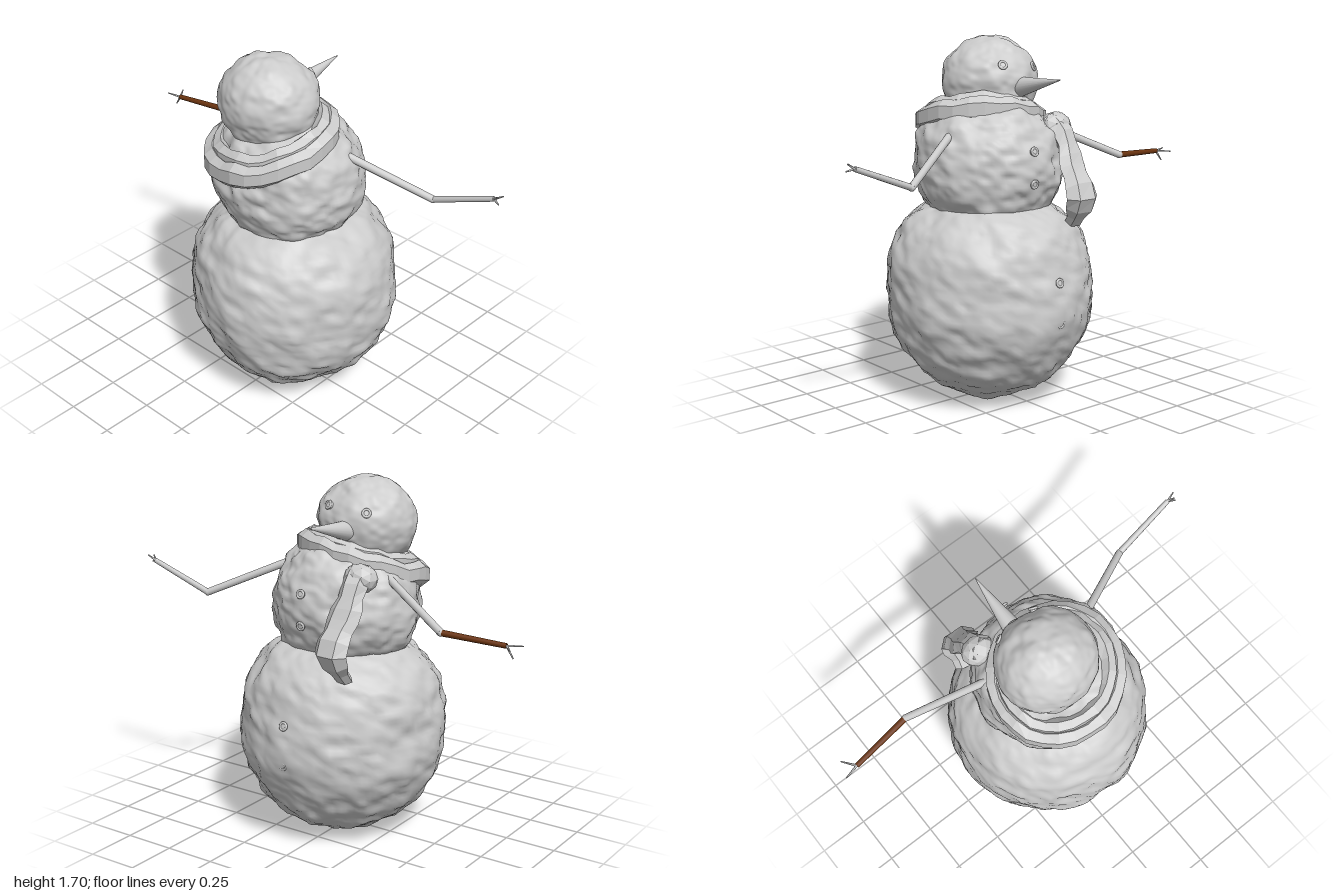
import * as THREE from 'three';
import { mergeVertices } from 'three/addons/utils/BufferGeometryUtils.js';

const V = (x, y, z) => new THREE.Vector3(x, y, z);
const snow = new THREE.MeshStandardMaterial({ color: 0xcccccc });
const cloth = new THREE.MeshStandardMaterial({ color: 0xcccccc, flatShading: true, side: THREE.DoubleSide });
const bark = new THREE.MeshStandardMaterial({ color: 0x6b3410 });

// Seeded value noise in the range -1..1
function hash(x, y, z) {
  const s = Math.sin(x * 127.1 + y * 311.7 + z * 74.7) * 43758.5453;
  return (s - Math.floor(s)) * 2 - 1;
}
function noise(x, y, z) {
  const ix = Math.floor(x), iy = Math.floor(y), iz = Math.floor(z);
  const ease = t => t * t * (3 - 2 * t);
  const fx = ease(x - ix), fy = ease(y - iy), fz = ease(z - iz);
  let sum = 0;
  for (let k = 0; k < 8; k++) {
    const a = k & 1, b = (k >> 1) & 1, c = k >> 2;
    sum += hash(ix + a, iy + b, iz + c) * (a ? fx : 1 - fx) * (b ? fy : 1 - fy) * (c ? fz : 1 - fz);
  }
  return sum;
}

function add(parent, name, geometry, material) {
  const mesh = new THREE.Mesh(geometry, material);
  mesh.name = name;
  parent.add(mesh);
  return mesh;
}

// Lumpy ball of packed snow; shoulder widens its upper half
function snowball(center, radii, shoulder, lump) {
  let geo = new THREE.SphereGeometry(1, 128, 88);
  geo.deleteAttribute('uv');
  geo.deleteAttribute('normal');
  geo = mergeVertices(geo, 1e-5);
  const pos = geo.attributes.position, p = V(0, 0, 0);
  for (let i = 0; i < pos.count; i++) {
    p.fromBufferAttribute(pos, i);
    const wide = p.y > 0 ? 1 + shoulder * p.y * p.y : 1;
    const q = V(p.x * wide, p.y, p.z * wide).multiply(radii).add(center);
    const bump = 0.9 * noise(q.x * 6, q.y * 7, q.z * 6) + 0.8 * noise(q.x * 14, q.y * 19, q.z * 14)
      + 0.4 * noise(q.x * 30, q.y * 38, q.z * 30);
    q.addScaledVector(p, bump * lump);
    pos.setXYZ(i, q.x, q.y, q.z);
  }
  geo.computeVertexNormals();
  return geo;
}

// Skin over six-sided sections, each { c: centre, u: half depth, v: half width }
function loft(sections, closed) {
  const sides = 6, verts = [], index = [], n = sections.length;
  for (const { c, u, v } of sections)
    for (let k = 0; k < sides; k++) {
      const a = (k + 0.5) / sides * Math.PI * 2;
      const p = c.clone().addScaledVector(u, Math.cos(a) * 1.1).addScaledVector(v, Math.sin(a));
      verts.push(p.x, p.y, p.z);
    }
  for (let i = 0; i < (closed ? n : n - 1); i++)
    for (let k = 0; k < sides; k++) {
      const k2 = (k + 1) % sides, j = (i + 1) % n;
      const a = i * sides + k, b = i * sides + k2, c = j * sides + k2, d = j * sides + k;
      index.push(a, b, c, a, c, d);
    }
  if (!closed)
    for (let k = 1; k < sides - 1; k++) {
      const e = (n - 1) * sides;
      index.push(0, k + 1, k, e, e + k, e + k + 1);
    }
  const geo = new THREE.BufferGeometry();
  geo.setAttribute('position', new THREE.Float32BufferAttribute(verts, 3));
  geo.setIndex(index);
  geo.computeVertexNormals();
  return geo;
}

// Tilted scarf loop
function scarfLoop(rx, rz, lift, depth, height) {
  const sections = [], n = 26;
  for (let i = 0; i < n; i++) {
    const t = i / n * Math.PI * 2;
    const x = -0.015 + rx * Math.cos(t), z = 0.11 + rz * Math.sin(t);
    const y = 1.31 + lift + 0.17 * x - 0.25 * (z - 0.12) + 0.008 * hash(i, 3, lift);
    sections.push({
      c: V(x, y, z),
      u: V(Math.cos(t), 0.1, Math.sin(t)).multiplyScalar(depth * (1 + 0.15 * hash(i, 7, 1))),
      v: V(0, height * (1 + 0.1 * hash(i, 5, 2)), 0),
    });
  }
  return loft(sections, true);
}

// Tapered rod between two points
function rod(parent, name, from, to, r0, r1, material, sides = 12) {
  const dir = to.clone().sub(from);
  const mesh = add(parent, name, new THREE.CylinderGeometry(r1, r0, dir.length(), sides), material);
  mesh.position.copy(from).add(to).multiplyScalar(0.5);
  mesh.quaternion.setFromUnitVectors(V(0, 1, 0), dir.normalize());
  return mesh;
}

// Two-part stick arm with a forked twig hand
function arm(name, shoulder, elbow, wrist, tips, foreMaterial) {
  const group = new THREE.Group();
  group.name = name;
  rod(group, 'upperArm', shoulder, elbow, 0.019, 0.017, snow);
  add(group, 'elbow', new THREE.SphereGeometry(0.017, 12, 8), snow).position.copy(elbow);
  rod(group, 'forearm', elbow, wrist, 0.015, 0.012, foreMaterial);
  for (const tip of tips) rod(group, 'twigFinger', wrist, tip, 0.006, 0.003, snow, 6);
  return group;
}

// Small round button with a raised rim, facing along dir
function button(parent, name, position, dir) {
  const group = new THREE.Group();
  group.name = name;
  add(group, 'rim', new THREE.TorusGeometry(0.017, 0.006, 8, 20), snow);
  const disc = add(group, 'disc', new THREE.CylinderGeometry(0.017, 0.017, 0.016, 20), snow);
  disc.rotation.x = Math.PI / 2;
  disc.position.z = -0.006;
  group.position.copy(position);
  group.quaternion.setFromUnitVectors(V(0, 0, 1), dir.clone().normalize());
  parent.add(group);
}

export function createModel() {
  const model = new THREE.Group();
  model.name = 'snowman';

  // Three stacked snowballs
  const base = V(0.025, 0.5, 0), chest = V(0.012, 1.12, 0.02), head = V(-0.045, 1.49, 0.085);
  add(model, 'lowerBall', snowball(base, V(0.49, 0.49, 0.495), 0.28, 0.014), snow);
  add(model, 'middleBall', snowball(chest, V(0.35, 0.34, 0.345), 0.12, 0.016), snow);
  add(model, 'head', snowball(head, V(0.232, 0.225, 0.225), 0, 0.011), snow);

  // Nose and eyes
  rod(model, 'carrotNose', V(-0.07, 1.48, -0.09), V(-0.065, 1.54, -0.39), 0.05, 0.002, snow, 20);
  for (const [x, y, z] of [[0.075, 0.1, -0.19], [-0.12, 0.08, -0.175]]) {
    const d = V(x, y, z);
    button(model, 'eye', head.clone().addScaledVector(d.clone().normalize(), 0.23), d);
  }

  // Buttons down the chest and belly
  for (const [y, z] of [[1.22, -0.33], [1.07, -0.332]])
    button(model, 'chestButton', V(0.03, y, z), V(0, y - chest.y, z));
  for (const [y, z] of [[0.64, -0.49], [0.45, -0.5]])
    button(model, 'bellyButton', V(0.015, y, z), V(0, y - base.y, z));

  // Scarf: wide outer wrap, higher inner wrap, knot and hanging tail
  const scarf = new THREE.Group();
  scarf.name = 'scarf';
  model.add(scarf);
  add(scarf, 'outerWrap', scarfLoop(0.275, 0.265, 0, 0.04, 0.06), cloth);
  add(scarf, 'innerWrap', scarfLoop(0.235, 0.225, 0.035, 0.035, 0.055), cloth);
  const knot = add(scarf, 'knot', new THREE.IcosahedronGeometry(0.075, 1), cloth);
  knot.position.set(-0.21, 1.3, -0.2);
  knot.scale.set(1.1, 0.9, 0.9);
  const path = new THREE.CatmullRomCurve3([
    V(-0.2, 1.34, -0.18), V(-0.21, 1.23, -0.28), V(-0.2, 1.12, -0.335),
    V(-0.19, 1.0, -0.41), V(-0.2, 0.93, -0.38), V(-0.21, 0.86, -0.33)]);
  const tail = [], steps = 11;
  for (let i = 0; i <= steps; i++) {
    const s = i / steps, t = path.getTangentAt(s);
    const across = V(1, 0, -0.3 + 0.5 * s).normalize();
    const out = across.clone().cross(t).normalize();
    const end = s > 0.85 ? 0.65 : 1;
    tail.push({
      c: path.getPointAt(s),
      u: out.multiplyScalar(0.042 * end * (1 + 0.2 * hash(i, 1, 4))),
      v: across.multiplyScalar((0.06 + 0.03 * s) * end * (1 + 0.12 * hash(i, 2, 9))),
    });
  }
  add(scarf, 'hangingTail', loft(tail, false), cloth);

  // Stick arms
  model.add(arm('leftArm', V(0.2, 1.33, 0), V(0.65, 1.12, -0.24), V(0.955, 1.24, -0.265),
    [V(0.995, 1.265, -0.275), V(0.99, 1.23, -0.25), V(0.98, 1.262, -0.25)], snow));
  model.add(arm('rightArm', V(-0.2, 1.315, -0.04), V(-0.63, 1.118, -0.205), V(-0.93, 1.1, -0.165),
    [V(-1, 1.105, -0.145), V(-0.965, 1.05, -0.17), V(-0.975, 1.1, -0.225)], bark));
  return model;
}
